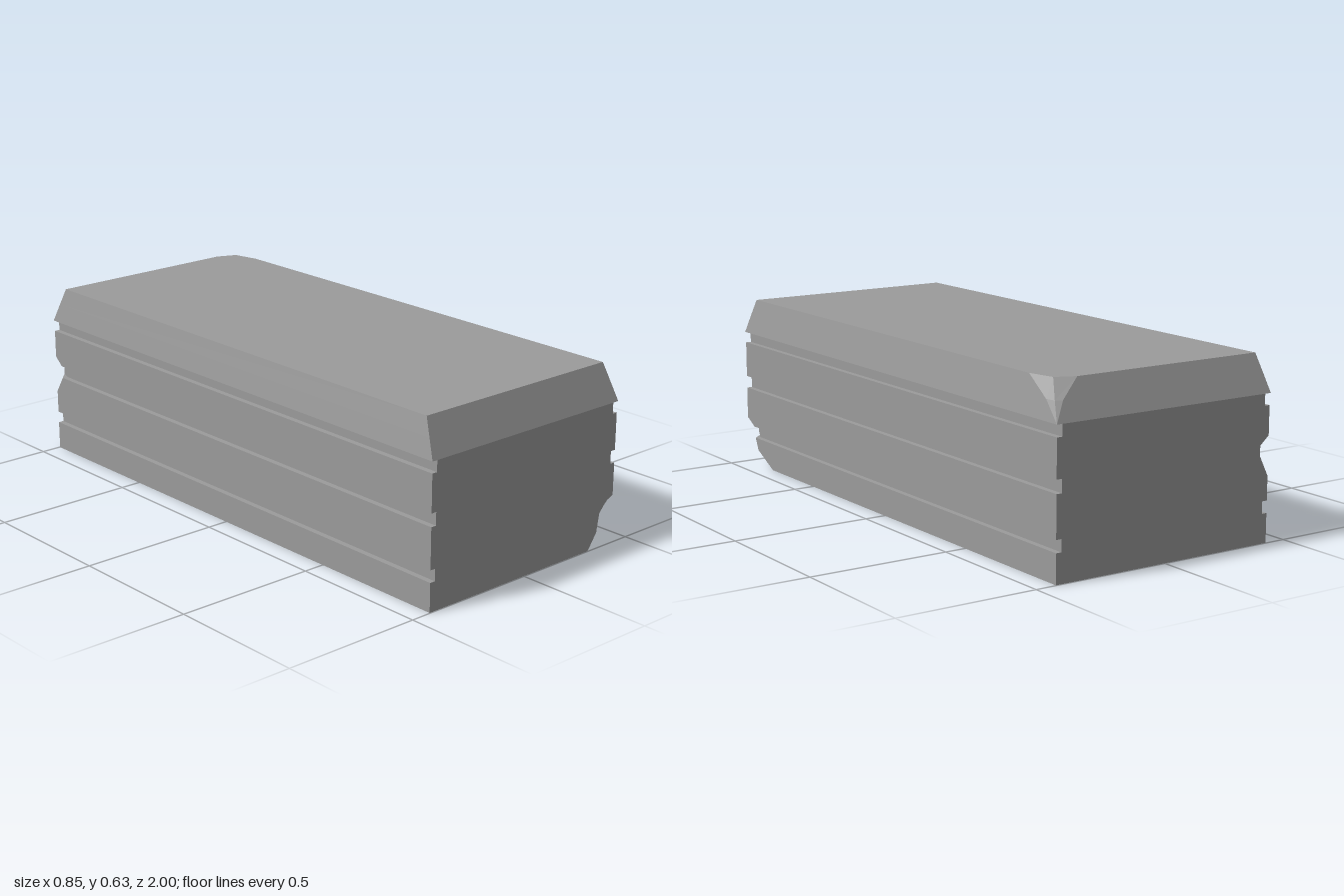
import * as THREE from 'three';

const OUT = 0.425, IN = 0.405; // half width of the slabs and of the grooves

// Horizontal sections from bottom to top: [y, half width, half length]
const SECTIONS = [
  [0.004, OUT, 0.998], [0.06, OUT, 0.998], [0.105, OUT, 0.998],
  [0.105, IN, 0.998], [0.125, IN, 0.998], [0.147, IN, 0.998],
  [0.147, OUT, 0.998], [0.165, OUT, 0.998], [0.175, OUT, 0.998], [0.23, OUT, 0.998], [0.29, OUT, 0.998],
  [0.29, IN, 0.998], [0.335, IN, 0.998],
  [0.335, OUT, 0.998], [0.365, OUT, 0.998], [0.465, OUT, 0.998],
  [0.465, IN, 0.998], [0.505, IN, 0.998],
  [0.505, 0.427, 1], [0.57, 0.415, 0.973], [0.632, 0.403, 0.947],
];

// Broken corners: rows of [y, cut along x, cut along z]
const FRONT_CHIP = [
  [0, 0.117, 0.2], [0.06, 0.075, 0.08], [0.125, 0.064, 0.05],
  [0.147, 0.045, 0.05], [0.165, 0.025, 0.02], [0.175, 0, 0],
];
const SIDE_CHIP = [[0.23, 0, 0], [0.29, 0.035, 0.04], [0.335, 0.035, 0.035], [0.365, 0, 0]];
const TOP_CHIP = [[0.505, 0, 0], [0.57, 0.03, 0.045], [0.632, 0.09, 0.125]];

// Corners in turn, counter-clockwise from above: [x sign, z sign, chip]
const CORNERS = [[1, 1, FRONT_CHIP], [1, -1, TOP_CHIP], [-1, -1, SIDE_CHIP], [-1, 1, []]];

// Size of a chip at height y
function cutAt(chip, y) {
  for (let i = 0; i + 1 < chip.length; i++) {
    const [y0, a0, b0] = chip[i], [y1, a1, b1] = chip[i + 1];
    if (y >= y0 && y <= y1) {
      const t = (y - y0) / (y1 - y0);
      return [a0 + (a1 - a0) * t, b0 + (b1 - b0) * t];
    }
  }
  return [0, 0];
}

// One horizontal section with three points at each corner
function ring([y, w, l]) {
  return CORNERS.flatMap(([sx, sz, chip]) => {
    let [dx, dz] = cutAt(chip, y);
    if (w === IN) dx = Math.max(0, dx - (OUT - IN));
    const k = chip === TOP_CHIP ? 0.24 : 0.48;
    const points = [[w - dx, l], [w - dx * k, l - dz * k], [w, l - dz]]
      .map(([x, z]) => new THREE.Vector3(sx * x, y, sz * z));
    return sx * sz > 0 ? points : points.reverse();
  });
}

function createBlockGeometry() {
  const rings = SECTIONS.map(ring);
  const positions = [];
  const triangle = (a, b, c) => {
    if (new THREE.Triangle(a, b, c).getArea() < 1e-8) return;
    for (const p of [a, b, c]) positions.push(p.x, p.y, p.z);
  };
  const n = rings[0].length;
  const bottom = new THREE.Vector3(0, SECTIONS[0][0], 0);
  const top = new THREE.Vector3(0, SECTIONS.at(-1)[0], 0);
  for (let j = 0; j < n; j++) {
    const k = (j + 1) % n;
    // Walls and groove ledges
    for (let i = 0; i + 1 < rings.length; i++) {
      const lo = rings[i], hi = rings[i + 1];
      triangle(lo[j], lo[k], hi[k]);
      triangle(lo[j], hi[k], hi[j]);
    }
    // Underside and top
    triangle(bottom, rings[0][k], rings[0][j]);
    triangle(top, rings.at(-1)[j], rings.at(-1)[k]);
  }
  const geometry = new THREE.BufferGeometry();
  geometry.setAttribute('position', new THREE.Float32BufferAttribute(positions, 3));
  geometry.computeVertexNormals();
  return geometry;
}

export function createModel() {
  const group = new THREE.Group();
  group.name = 'groovedBlock';
  const material = new THREE.MeshStandardMaterial({ color: 0x9b9b9b, flatShading: true });
  const block = new THREE.Mesh(createBlockGeometry(), material);
  block.name = 'chippedBlock';
  group.add(block);
  return group;
}
